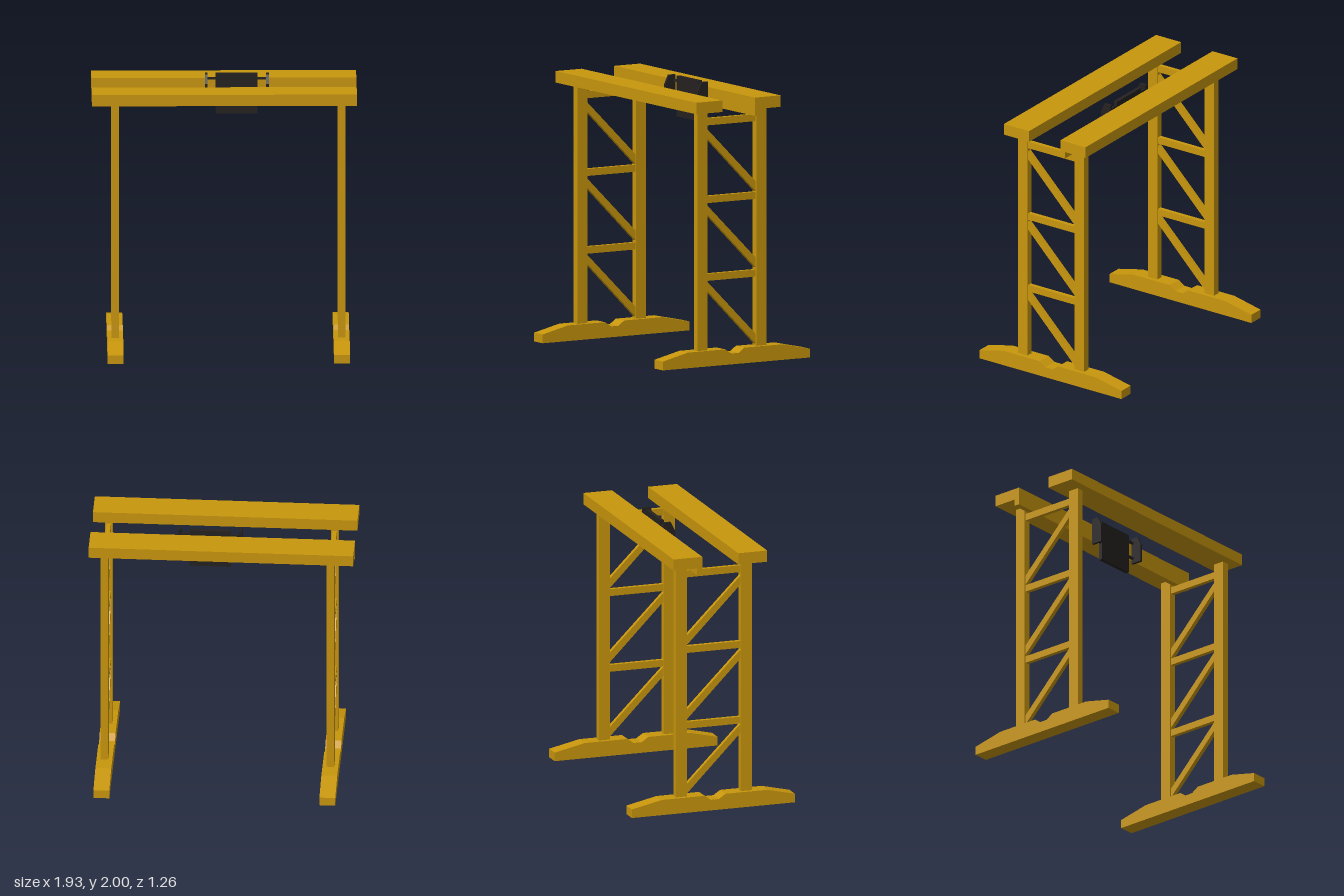
import * as THREE from 'three';

const yellow = new THREE.MeshStandardMaterial({ color: 0xc8960c, flatShading: true });
const black = new THREE.MeshStandardMaterial({ color: 0x242120, flatShading: true });

export function createModel() {
  const model = new THREE.Group();
  model.name = 'gantryCrane';

  // Box given by its min/max on each axis
  const box = (parent, name, mat, [x0, x1], [y0, y1], [z0, z1]) => {
    const mesh = new THREE.Mesh(new THREE.BoxGeometry(x1 - x0, y1 - y0, z1 - z0), mat);
    mesh.position.set((x0 + x1) / 2, (y0 + y1) / 2, (z0 + z1) / 2);
    mesh.name = name;
    parent.add(mesh);
  };

  // Side profile of [z, y] points, extruded along x between x0 and x1
  const plate = (parent, name, mat, [x0, x1], points) => {
    const shape = new THREE.Shape(points.map(([z, y]) => new THREE.Vector2(-z, y)));
    const geo = new THREE.ExtrudeGeometry(shape, { depth: x1 - x0, bevelEnabled: false });
    geo.rotateY(Math.PI / 2);
    geo.translate(x0, 0, 0);
    const mesh = new THREE.Mesh(geo, mat);
    mesh.name = name;
    parent.add(mesh);
  };

  // Leg frames: foot, two posts, rungs and diagonal braces
  const footProfile = [
    [0.635, 0], [-0.63, 0], [-0.63, 0.065], [-0.397, 0.115], [-0.066, 0.115],
    [-0.018, 0.08], [0.045, 0.08], [0.098, 0.115], [0.42, 0.115], [0.635, 0.065],
  ];
  for (const [name, x] of [['rightLegFrame', -0.797], ['leftLegFrame', 0.855]]) {
    const frame = new THREE.Group();
    frame.name = name;
    model.add(frame);
    const across = (half) => [x - half, x + half];

    plate(frame, 'foot', yellow, across(0.058), footProfile);
    box(frame, 'frontPost', yellow, across(0.027), [0.115, 1.875], [0.23, 0.315]);
    box(frame, 'backPost', yellow, across(0.027), [0.115, 1.875], [-0.275, -0.19]);
    for (let i = 0; i < 3; i++) {
      const y = 0.65 + i * 0.573;
      box(frame, 'rung', yellow, across(0.016), [y - 0.026, y + 0.026], [-0.19, 0.23]);
      const d = i * 0.562;
      plate(frame, 'diagonalBrace', yellow, across(0.016), [
        [0.23, 0.555 + d], [-0.19, 0.13 + d], [-0.19, 0.203 + d], [0.23, 0.622 + d],
      ]);
    }
  }

  // Top beams, with the trolley rail under the inner edge of the back one
  const span = [-0.968, 0.966];
  box(model, 'frontBeam', yellow, span, [1.875, 1.96], [0.156, 0.38]);
  box(model, 'backBeam', yellow, span, [1.875, 1.96], [-0.346, -0.124]);
  box(model, 'trolleyRail', yellow, span, [1.825, 1.875], [-0.165, -0.124]);

  // Trolley: hanging panel, two rods and chamfered end plates
  const trolley = new THREE.Group();
  trolley.name = 'trolley';
  model.add(trolley);
  box(trolley, 'panel', black, [-0.06, 0.244], [1.7, 2], [-0.122, -0.093]);
  for (const y of [1.96, 1.838]) {
    box(trolley, 'rod', black, [-0.125, 0.312], [y - 0.008, y + 0.008], [-0.116, -0.101]);
  }
  for (const x of [-0.13, 0.317]) {
    plate(trolley, 'endPlate', black, [x - 0.01, x + 0.01], [
      [-0.122, 1.8], [-0.122, 2], [-0.067, 2], [-0.036, 1.935], [-0.036, 1.8],
    ]);
  }
  return model;
}
